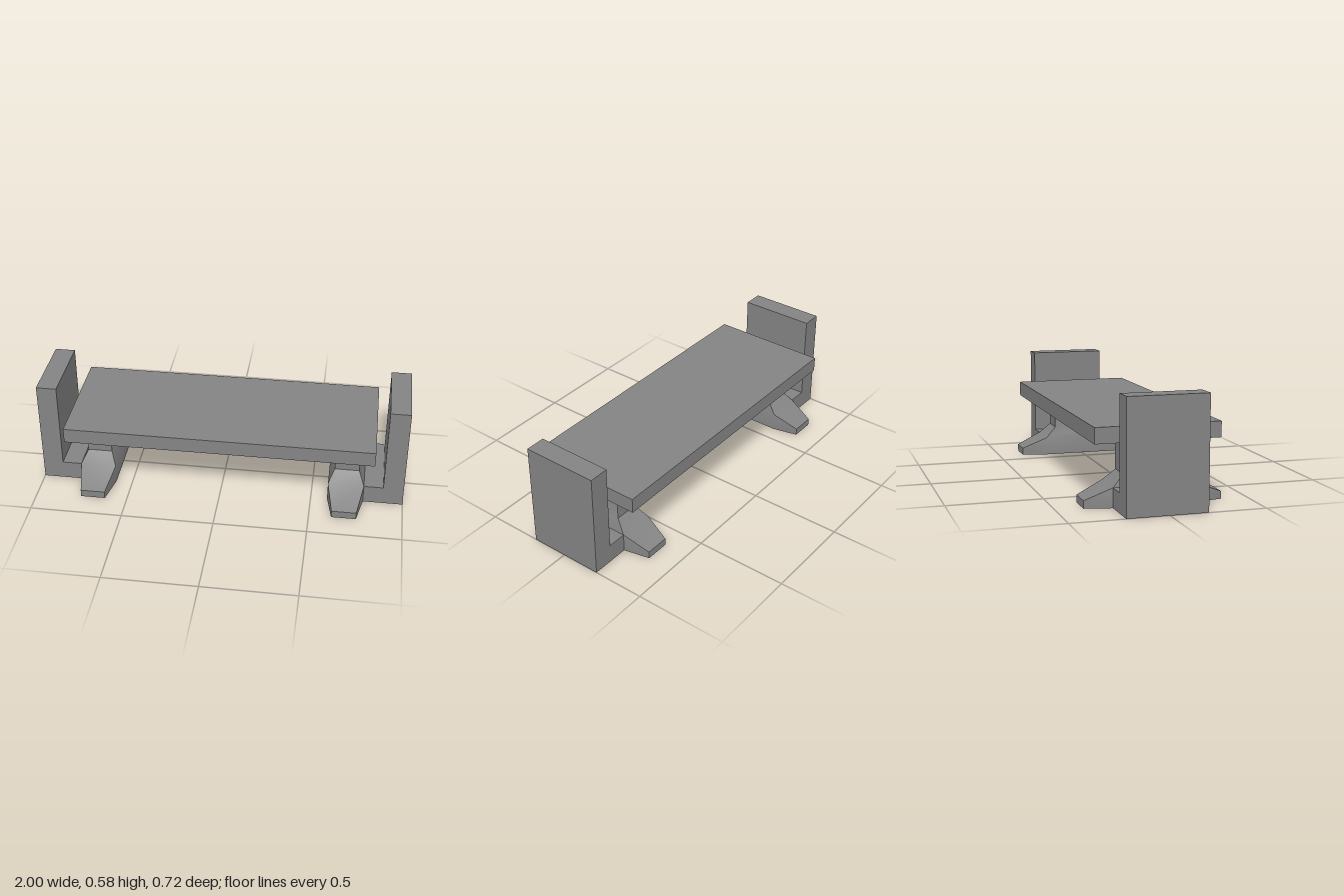
import * as THREE from 'three';
import { mergeGeometries, toCreasedNormals } from 'three/addons/utils/BufferGeometryUtils.js';

const material = new THREE.MeshStandardMaterial({ color: 0x848484, side: THREE.DoubleSide });

// Merges the pieces of one part and keeps its sharper edges crisp
function part(name, pieces) {
  const mesh = new THREE.Mesh(toCreasedNormals(mergeGeometries(pieces), 0.61), material);
  mesh.name = name;
  return mesh;
}

// Joins consecutive cross-sections with quads; closed wraps each section round
function loft(sections, closed = false) {
  const pos = [];
  for (let s = 0; s + 1 < sections.length; s++) {
    const A = sections[s], B = sections[s + 1], n = A.length;
    for (let i = 0; i < (closed ? n : n - 1); i++) {
      const j = (i + 1) % n;
      pos.push(...A[i], ...B[i], ...A[j], ...A[j], ...B[i], ...B[j]);
    }
  }
  const g = new THREE.BufferGeometry();
  g.setAttribute('position', new THREE.Float32BufferAttribute(pos, 3));
  return g;
}

const FRONT = 0.199, BACK = -0.219, TOE = 0.36;
const IN = 0.59, OUT = 0.785;           // wide part of the foot
const SLIM_IN = 0.621, SLIM_OUT = 0.754; // post and toe tips
const STEP = 0.102;                     // height of foot and bracket

// Three-sided channel section, open below
const channel = (x0, x1, h, z) => [[x1, 0, z], [x1, h, z], [x0, h, z], [x0, 0, z]];
// Horizontal rectangle
const rect = (x0, x1, y, z0, z1) => [[x1, y, z1], [x0, y, z1], [x0, y, z0], [x1, y, z0]];
// Upright rectangle facing +z if x runs upwards, -z if it runs downwards
const wall = (xs, h, z) => loft(xs.map((x) => [[x, 0, z], [x, h, z]]));

function createSupport(name) {
  const support = new THREE.Group();
  support.name = name;

  // Upright end panel with a low bracket to the foot, a shell open below
  const outline = [[1, 0], [1, 0.583], [0.89, 0.583], [0.89, STEP], [OUT, STEP]];
  const at = (z) => outline.map(([x, y]) => [x, y, z]);
  support.add(part('endPanel', [
    loft([at(FRONT), at(BACK)]),
    wall([0.89, 1], 0.583, FRONT),
    wall([OUT, 0.89], STEP, FRONT),
    wall([1, 0.89], 0.583, BACK),
    wall([0.89, OUT], STEP, BACK),
  ]));

  // Foot: flared post, inner side and tapered toes, open below
  const tip = (z) => channel(SLIM_IN, SLIM_OUT, 0.04, z);
  const root = (z) => channel(IN, OUT, STEP, z);
  support.add(part('foot', [
    loft([
      rect(IN, OUT, STEP, BACK, FRONT),
      rect(SLIM_IN, SLIM_OUT, 0.16, -0.158, 0.138),
      rect(SLIM_IN, SLIM_OUT, 0.354, -0.158, 0.138),
    ], true),
    loft([FRONT, BACK].map((z) => [[IN, STEP, z], [IN, 0, z]])),
    loft([tip(TOE), root(FRONT)]),
    loft([root(BACK), tip(-TOE)]),
    wall([SLIM_IN, SLIM_OUT], 0.04, TOE),
    wall([SLIM_OUT, SLIM_IN], 0.04, -TOE),
  ]));
  return support;
}

export function createModel() {
  const model = new THREE.Group();
  model.name = 'bench';

  // Top board, a shallow tray open below
  const rim = (y) => rect(-0.832, 0.832, y, -0.326, 0.326);
  const [a, b, c, d] = rim(0.414);
  model.add(part('topBoard', [loft([rim(0.332), rim(0.414)], true), loft([[a, b], [d, c]])]));

  // Matching supports at both ends
  const left = createSupport('leftSupport');
  const right = createSupport('rightSupport');
  right.scale.x = -1;
  model.add(left, right);
  return model;
}
